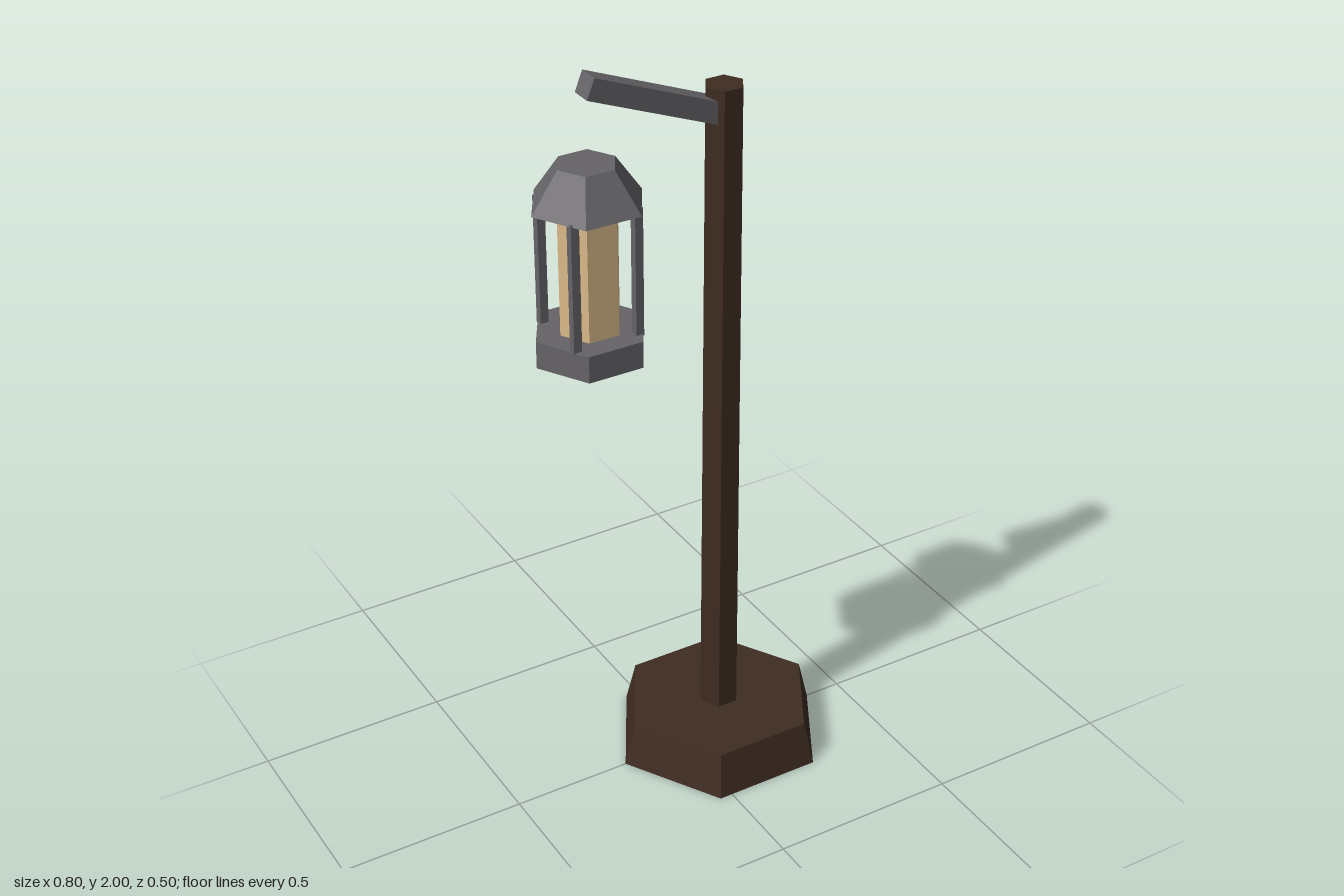
import * as THREE from 'three';

const material = (name, color) => {
  const m = new THREE.MeshStandardMaterial({ color, flatShading: true });
  m.name = name;
  return m;
};

export function createModel() {
  const wood = material('dark wood', 0x3f2c22);
  const metal = material('grey metal', 0x666467);
  const glass = material('warm glass', 0xdcbc8b);

  const add = (parent, name, geometry, mat, x, y, z = 0) => {
    const mesh = new THREE.Mesh(geometry, mat);
    mesh.name = name;
    mesh.position.set(x, y, z);
    parent.add(mesh);
    return mesh;
  };
  // Tapered hexagonal prism with corners on the x axis, standing on y = 0
  const hex = (rTop, rBottom, height) =>
    new THREE.CylinderGeometry(rTop, rBottom, height, 6).rotateY(Math.PI / 2).translate(0, height / 2, 0);

  const model = new THREE.Group();
  model.name = 'lampPost';

  // Base and post
  const postX = 0.11;
  add(model, 'base', hex(0.26, 0.29, 0.12), wood, postX, 0);
  add(model, 'post', hex(0.05, 0.055, 1.79), wood, postX, 0.11);

  // Sloping arm, from inside the post up to its free end
  const start = new THREE.Vector2(0.105, 1.831);
  const end = new THREE.Vector2(-0.256, 1.975);
  const along = start.clone().sub(end);
  const arm = add(model, 'arm', new THREE.BoxGeometry(along.length(), 0.054, 0.057), metal,
    (start.x + end.x) / 2, (start.y + end.y) / 2);
  arm.rotation.z = along.angle();

  // Hanging lantern
  const lantern = new THREE.Group();
  lantern.name = 'lantern';
  lantern.position.set(-0.256, 1.29, 0);
  model.add(lantern);
  add(lantern, 'lanternFloor', hex(0.145, 0.145, 0.07), metal, 0, 0);
  add(lantern, 'lanternGlass', hex(0.08, 0.08, 0.295), glass, 0, 0.07);
  add(lantern, 'lanternRoof', hex(0.075, 0.145, 0.1), metal, 0, 0.395);

  // Four upright bars around the glass
  for (const x of [-1, 1]) {
    for (const z of [-1, 1]) {
      add(lantern, 'lanternBar', new THREE.BoxGeometry(0.021, 0.335, 0.021), metal, x * 0.083, 0.2325, z * 0.083);
    }
  }
  return model;
}
